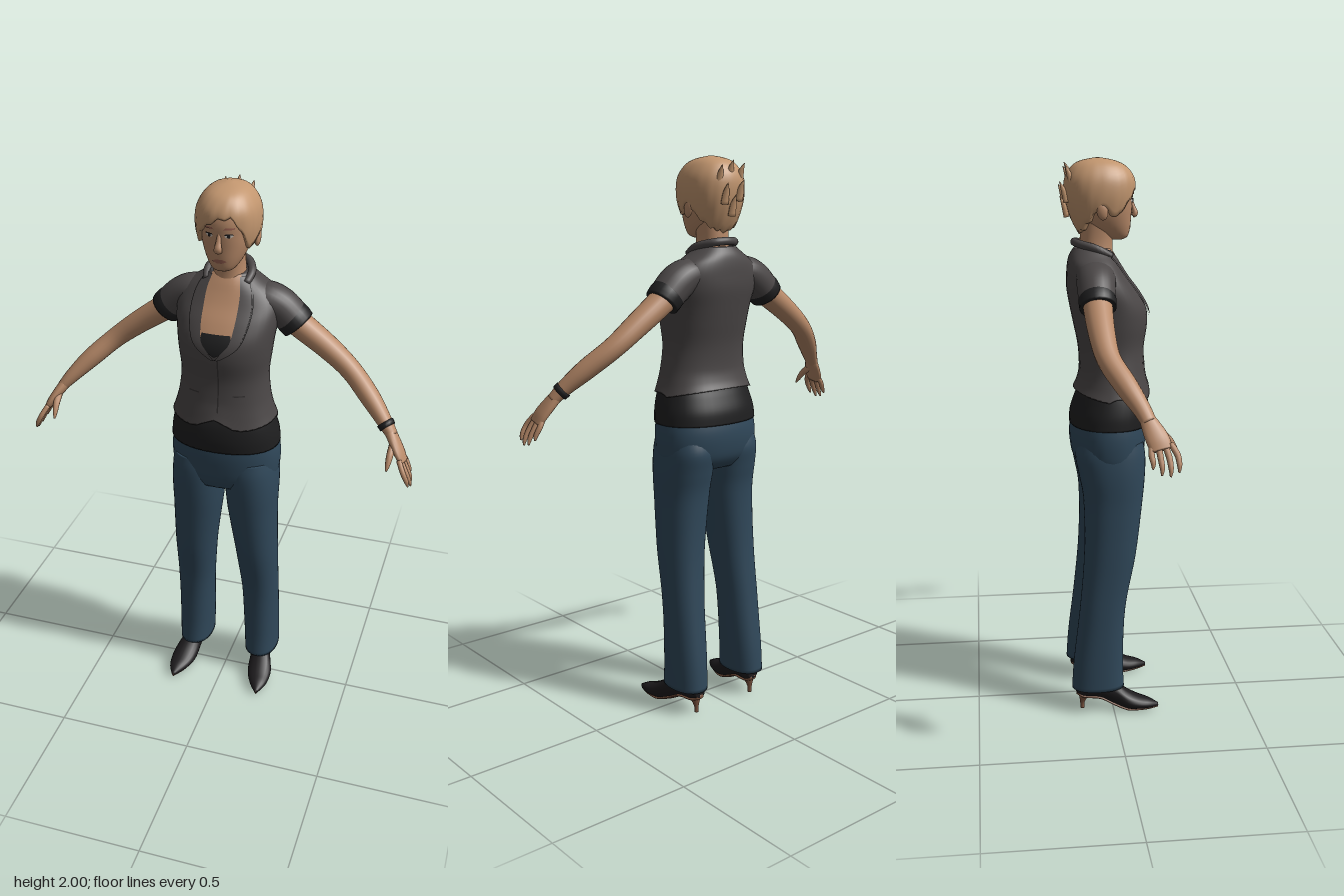
import * as THREE from 'three';

const mat = (name, color) => Object.assign(new THREE.MeshStandardMaterial({ color }), { name });
const skin = mat('skin', 0xb88a69), hair = mat('hair', 0xc2966f), vestGrey = mat('vest grey', 0x4b4747),
  black = mat('black cloth', 0x1f1f20), denim = mat('denim blue', 0x30485a), leather = mat('shoe leather', 0x1d1b1d),
  soleTan = mat('sole tan', 0x7c5540), lip = mat('lips', 0x9a6252), white = mat('eye white', 0xc9c0b6), seam = mat('seam', 0x353232);

// Skin a list of point rings into a surface
function loft(rings, closed = true, caps = true) {
  const n = rings[0].length, m = rings.length, pos = [], idx = [];
  rings.forEach(r => r.forEach(p => pos.push(p.x, p.y, p.z)));
  for (let i = 0; i < m - 1; i++) for (let j = 0; j < (closed ? n : n - 1); j++) {
    const k = (j + 1) % n, a = i * n + j, b = i * n + k;
    idx.push(a, a + n, b, b, a + n, b + n);
  }
  if (closed && caps) [0, m - 1].forEach(i => {
    const c = rings[i].reduce((s, p) => s.add(p), new THREE.Vector3()).divideScalar(n), ci = pos.length / 3;
    pos.push(c.x, c.y, c.z);
    for (let j = 0; j < n; j++) {
      const a = i * n + j, b = i * n + (j + 1) % n;
      i ? idx.push(a, ci, b) : idx.push(a, b, ci);
    }
  });
  const g = new THREE.BufferGeometry();
  g.setAttribute('position', new THREE.Float32BufferAttribute(pos, 3));
  g.setIndex(idx);
  g.computeVertexNormals();
  return g;
}

// Smooth the rows of a table with a Catmull-Rom spline
function smooth(rows, steps = 5) {
  const out = [], last = rows.length - 1, at = i => rows[Math.min(last, Math.max(0, i))];
  for (let i = 0; i < last; i++) for (let s = 0; s < steps; s++) {
    const t = s / steps;
    out.push(rows[0].map((_, c) => {
      const a = at(i - 1)[c], b = at(i)[c], d = at(i + 1)[c], e = at(i + 2)[c];
      return b + 0.5 * t * (d - a + t * (2 * a - 5 * b + 4 * d - e + t * (3 * (b - d) + e - a)));
    }));
  }
  return [...out, rows[last]];
}

// Upright section [y, half width, front z, back z] at an angle
function sectionPoint([y, rx, zf, zb], a, cx = 0, e = 0.9) {
  const f = v => Math.sign(v) * Math.abs(v) ** e, mid = (zf + zb) / 2;
  return new THREE.Vector3(cx + rx * f(Math.cos(a)), y, mid + (zf - zb) / 2 * f(Math.sin(a)));
}
function rowAt(rows, y) {
  let i = 0;
  while (i < rows.length - 2 && rows[i + 1][0] < y) i++;
  const t = THREE.MathUtils.clamp((y - rows[i][0]) / (rows[i + 1][0] - rows[i][0]), 0, 1);
  return rows[i].map((v, c) => v + (rows[i + 1][c] - v) * t);
}
const angles = Array.from({ length: 40 }, (_, j) => j / 40 * Math.PI * 2);
const upright = (rows, cxOf = () => 0) => loft(rows.map(r => angles.map(a => sectionPoint(r, a, cxOf(r)))));

// Thin panel lying on the front of an upright body; edges are [y, x0, x1]
function patch(rows, edges, off) {
  return loft(smooth(edges, 4).map(([y, x0, x1]) => Array.from({ length: 9 }, (_, j) => {
    const r = rowAt(rows, y), x = x1 + (x0 - x1) * j / 8, k = Math.min(0.97, Math.abs(x / r[1]));
    const z = (r[2] + r[3]) / 2 + (r[2] - r[3]) / 2 * (1 - k ** (2 / 0.9)) ** 0.45;
    return new THREE.Vector3(x, y, z + off);
  })), false);
}

// Tube along points [x, y, z, thickness radius, z-wise radius]
function limb(points, s = 1, steps = 5, n = 16) {
  const p = smooth(points, steps), v3 = q => new THREE.Vector3(q[0] * s, q[1], q[2]);
  return loft(p.map((q, i) => {
    const t = v3(p[Math.min(i + 1, p.length - 1)]).sub(v3(p[Math.max(i - 1, 0)])).normalize();
    const v = new THREE.Vector3(0, 0, 1).addScaledVector(t, -t.z).normalize(), u = t.clone().cross(v);
    return Array.from({ length: n }, (_, j) => {
      const a = j / n * Math.PI * 2;
      return v3(q).addScaledVector(u, q[3] * Math.cos(a)).addScaledVector(v, q[4] * Math.sin(a));
    });
  }));
}

export function createModel() {
  const model = new THREE.Group();
  const add = (name, geo, m) => {
    const mesh = new THREE.Mesh(geo, m);
    mesh.name = name;
    model.add(mesh);
    return mesh;
  };

  // Vest body with a dipped hem
  const torso = smooth([[1.17, .188, .143, -.13], [1.21, .176, .135, -.117], [1.27, .163, .126, -.108], [1.35, .155, .122, -.112],
    [1.43, .163, .133, -.128], [1.49, .17, .128, -.14], [1.55, .18, .095, -.15], [1.6, .178, .057, -.15],
    [1.64, .15, .032, -.147], [1.67, .105, .016, -.14], [1.695, .07, 0, -.125]]);
  add('vest', loft(torso.map(r => angles.map(a => {
    const p = sectionPoint(r, a), k = Math.max(0, (1.27 - r[0]) / 0.1);
    p.y += k * (p.z > 0 ? 0.04 * Math.exp(-((p.x / 0.05) ** 2)) + 0.015 * Math.abs(p.x / .18) ** 3 : 0.03 * Math.abs(Math.sin(a)));
    return p;
  }))), vestGrey);
  add('vestSeam', patch(torso, [[1.21, .006, .011], [1.33, .008, .013], [1.45, .008, .013]], .003), seam);
  add('chest', patch(torso, [[1.452, -.004, .004], [1.47, -.03, .03], [1.5, -.052, .052], [1.55, -.06, .06], [1.6, -.062, .062],
    [1.65, -.06, .06], [1.695, -.05, .05]], .004), skin);
  add('camisole', patch(torso, [[1.452, -.004, .004], [1.47, -.03, .03], [1.5, -.052, .052], [1.525, -.05, .05]], .007), black);

  // Undershirt hem and hips
  add('undershirt', upright(smooth([[1.075, .198, .135, -.145], [1.12, .194, .139, -.141], [1.17, .182, .136, -.124],
    [1.21, .168, .125, -.108], [1.25, .15, .11, -.1]])), black);
  add('hips', upright(smooth([[.91, .175, .105, -.105], [.95, .193, .12, -.132], [1.0, .199, .127, -.143],
    [1.05, .198, .13, -.144], [1.1, .19, .128, -.135]])), denim);

  // Neck and head
  add('neck', upright(smooth([[1.57, .08, .03, -.1], [1.66, .06, .014, -.105], [1.72, .053, .012, -.103], [1.79, .055, .02, -.1]])), skin);
  const face = smooth([[1.722, .02, .045, .0], [1.733, .04, .064, -.025], [1.765, .062, .073, -.075], [1.81, .079, .077, -.11],
    [1.85, .085, .08, -.125], [1.9, .086, .081, -.13], [1.95, .075, .06, -.12], [1.985, .03, 0, -.07]]);
  add('head', upright(face), skin);
  add('nose', limb([[0, 1.862, .074, .006, .006], [0, 1.835, .083, .009, .008], [0, 1.812, .09, .014, .011], [0, 1.803, .082, .012, .008]]), skin);
  add('mouth', patch(face, [[1.76, -.008, .008], [1.767, -.024, .024], [1.774, -.01, .01]], .003), lip);

  // Short hair falling from the crown to a swept hemline
  const hairRows = smooth([[1.74, .07, .02, -.105], [1.78, .09, .06, -.128], [1.83, .104, .08, -.147], [1.88, .109, .089, -.157],
    [1.93, .102, .087, -.155], [1.97, .078, .06, -.132], [1.99, .05, .02, -.1], [2.0, .01, -.03, -.05]]);
  const hemline = [[0, 1.84], [30, 1.8], [48, 1.86], [68, 1.918], [90, 1.912], [120, 1.875], [142, 1.83], [156, 1.8], [180, 1.84],
    [205, 1.79], [230, 1.76], [270, 1.745], [310, 1.76], [335, 1.79], [360, 1.84]];
  const hairAngles = Array.from({ length: 72 }, (_, j) => j / 72 * Math.PI * 2);
  const hairRing = (t, inset = 1) => hairAngles.map(a => {
    const hem = rowAt(hemline.map(([d, y]) => [d, y]), THREE.MathUtils.radToDeg(a))[1] + 0.004 * Math.sin(a * 17);
    const y = hem + (2 - hem) * t, p = sectionPoint(rowAt(hairRows, y), a);
    const k = inset * (1 + 0.008 * Math.sin(a * 18 + t * 5) * (1 - t));
    return p.set(p.x * k, p.y, (p.z + .035) * k - .035);
  });
  add('hair', loft([hairRing(0, .8), ...Array.from({ length: 19 }, (_, i) => hairRing(Math.sin(i / 18 * Math.PI / 2)))]), hair);
  [[-.045, 1.955, -.13], [0, 1.965, -.13], [.045, 1.95, -.13], [-.03, 1.9, -.148], [.035, 1.89, -.148], [0, 1.85, -.145]].forEach(([x, y, z]) =>
    add('hairTuft', limb([[x, y - .05, z - .003, .016, .01], [x, y - .01, z - .012, .012, .009], [x * 1.1, y + .02, z - .026, .001, .001]], 1, 3, 8), hair));

  // Collar behind the neck
  add('collar', limb([[-.07, 1.67, .0, .012, .012], [-.076, 1.695, -.05, .014, .014], [-.05, 1.71, -.105, .014, .014], [-.015, 1.714, -.12, .014, .014],
    [.015, 1.714, -.12, .014, .014], [.05, 1.71, -.105, .014, .014], [.076, 1.695, -.05, .014, .014], [.07, 1.67, .0, .012, .012]]), vestGrey);

  for (const s of [-1, 1]) {
    const side = s > 0 ? 'left' : 'right';
    const pair = (name, geo, m) => add(side + name, geo, m);
    const mirrored = edges => edges.map(([y, a, b]) => s > 0 ? [y, a, b] : [y, -b, -a]);
    const plate = (name, rows, edges, off, m) => pair(name, patch(rows, mirrored(edges), off), m);

    // Lapel, with a dark line along its outer edge
    const lapel = [[1.44, 0, .012], [1.47, .026, .058], [1.5, .049, .084], [1.55, .058, .1], [1.6, .06, .104], [1.65, .058, .094], [1.69, .048, .07]];
    plate('Lapel', torso, lapel, .009, vestGrey);
    plate('LapelEdge', torso, lapel.map(([y, , b]) => [y, b, b + .004]), .006, seam);
    plate('PocketSeam', torso, [[1.298, .06, .1], [1.303, .06, .1]], .003, seam);

    // Eyes, brows and ears
    plate('EyeWhite', face, [[1.85, .028, .036], [1.855, .02, .046], [1.861, .026, .042]], .002, white);
    plate('Iris', face, [[1.85, .03, .035], [1.855, .027, .038], [1.861, .029, .036]], .004, black);
    plate('Lash', face, [[1.86, .019, .049], [1.864, .024, .044]], .004, black);
    plate('Brow', face, [[1.878, .016, .05], [1.884, .022, .052]], .003, lip);
    const ear = new THREE.SphereGeometry(1, 14, 10).scale(.011, .032, .02).rotateX(-.2).translate(s * .098, 1.825, -.035);
    pair('Ear', ear, skin);

    // Sleeve, cuff and arm
    pair('Sleeve', limb([[.08, 1.605, -.055, .045, .065], [.13, 1.6, -.06, .058, .068], [.175, 1.575, -.063, .063, .066], [.218, 1.537, -.064, .06, .063]], s, 5, 24), vestGrey);
    pair('Cuff', limb([[.195, 1.557, -.064, .058, .06], [.22, 1.535, -.064, .062, .064], [.239, 1.515, -.064, .06, .062]], s, 3, 24), black);
    pair('Arm', limb([[.17, 1.58, -.065, .048, .05], [.235, 1.523, -.065, .046, .05], [.34, 1.448, -.063, .041, .045], [.43, 1.378, -.05, .036, .04],
      [.51, 1.308, -.005, .034, .038], [.57, 1.248, .035, .026, .03], [.605, 1.208, .056, .019, .025]], s, 5, 20), skin);

    // Hand with four fingers and a thumb
    pair('Palm', limb([[.595, 1.22, .05, .02, .025], [.618, 1.188, .066, .018, .034], [.638, 1.158, .08, .016, .038], [.654, 1.132, .088, .011, .035]], s), skin);
    for (let i = 0; i < 4; i++) {
      const z = .06 + i * .019, len = [.8, 1, 1.05, .92][i], spread = (i - 1.5) * .008;
      pair('Finger', limb([[.642, 1.15, z, .009, .01], [.642 + .02 * len, 1.15 - .035 * len, z + .008 + spread, .009, .01],
        [.642 + .037 * len, 1.15 - .068 * len, z + .012 + spread, .008, .008], [.642 + .044 * len, 1.15 - .09 * len, z + .01 + spread, .003, .003]], s, 4, 10), skin);
    }
    pair('Thumb', limb([[.612, 1.19, .07, .012, .014], [.61, 1.165, .108, .012, .012], [.608, 1.138, .131, .009, .009], [.606, 1.117, .145, .003, .003]], s, 4, 10), skin);

    // Trouser leg, its centre sliding outwards towards the foot
    const leg = smooth([[.09, .064, .04, -.153], [.2, .066, .036, -.145], [.4, .069, .045, -.121], [.6, .078, .083, -.104],
      [.8, .091, .108, -.104], [.9, .097, .117, -.12], [.97, .096, .118, -.132], [1.02, .09, .11, -.12]]);
    pair('Trouser', upright(leg, ([y]) => s * (.1985 - rowAt([[.09, .062], [.4, .069], [.6, .079], [.8, .094], [1.02, .102]], y)[1])), denim);

    // Pointed shoe: sections [z, centre x, bottom, top, half width]
    const shoe = smooth([[-.137, .13, .062, .1, .02], [-.11, .132, .05, .125, .036], [-.05, .138, .045, .125, .037], [0, .146, .022, .112, .04],
      [.05, .156, .005, .076, .047], [.09, .162, .005, .055, .043], [.13, .168, .007, .042, .029], [.165, .172, .012, .024, .006]]);
    const shoeRings = (low, high, w) => loft(shoe.map(([z, x, b, t, h]) => Array.from({ length: 20 }, (_, j) => {
      const a = j / 20 * Math.PI * 2, y0 = low(b, t), y1 = high(b, t);
      return new THREE.Vector3(s * x - h * w * Math.cos(a), (y0 + y1) / 2 + (y1 - y0) / 2 * Math.sin(a), z);
    })));
    pair('Shoe', shoeRings(b => b, (b, t) => t, 1), leather);
    pair('Sole', shoeRings(b => b - .005, b => b + .012, .72), soleTan);
    pair('Heel', limb([[.132, 0, -.115, .008, .008], [.132, .025, -.115, .009, .009], [.132, .065, -.108, .024, .024]], s, 4, 12), soleTan);
  }

  // Bracelet on the left wrist
  add('bracelet', limb([[.574, 1.243, .037, .03, .033], [.586, 1.23, .0445, .028, .032]], 1, 2, 20), black);
  return model;
}
